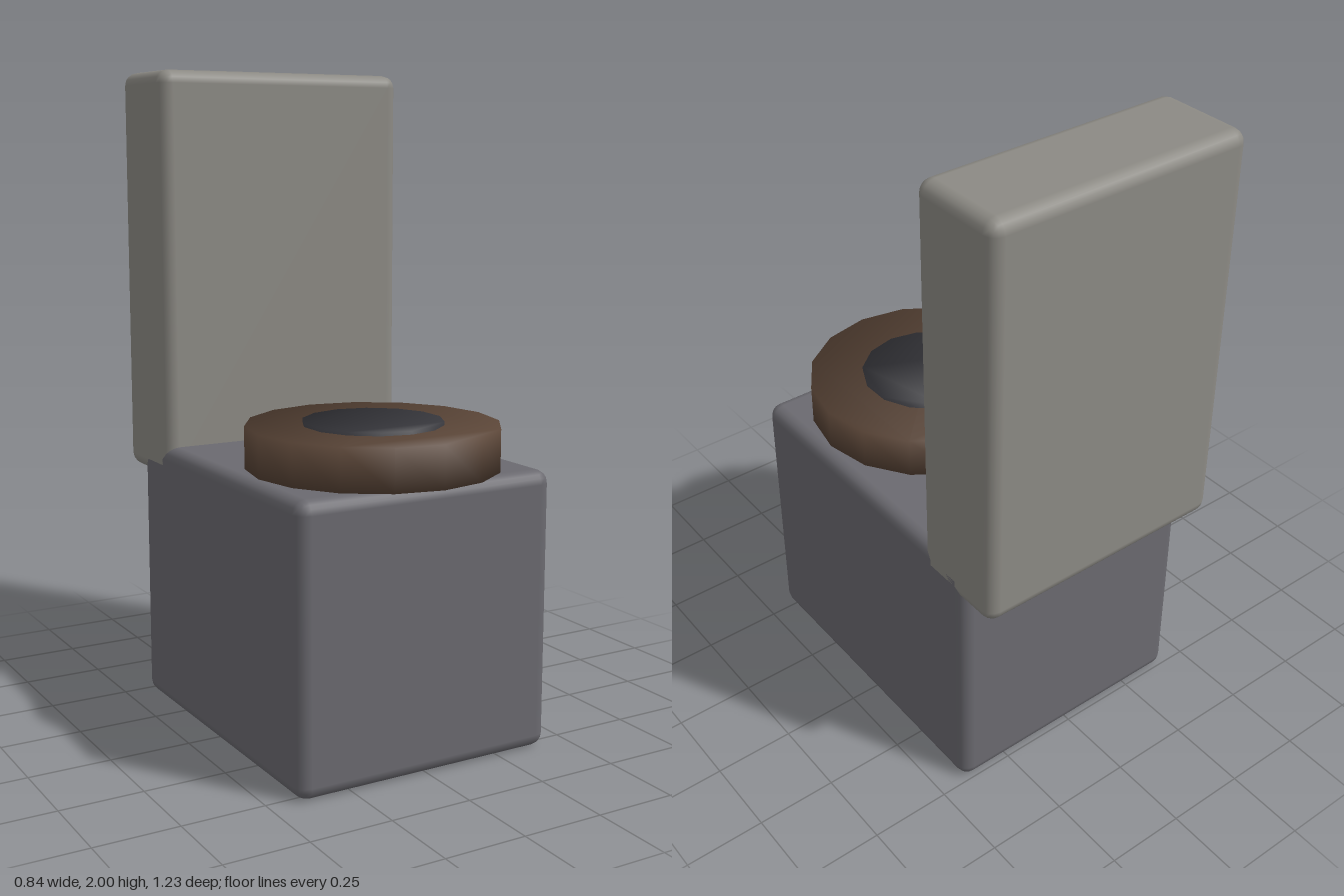
import * as THREE from 'three';
import { RoundedBoxGeometry } from 'three/addons/geometries/RoundedBoxGeometry.js';

// Rounded block given by its min and max corners
function block(name, color, min, max) {
  const size = max.map((v, i) => v - min[i]);
  const mesh = new THREE.Mesh(
    new RoundedBoxGeometry(...size, 2, 0.04),
    new THREE.MeshStandardMaterial({ color })
  );
  mesh.position.set(...max.map((v, i) => (v + min[i]) / 2));
  mesh.name = name;
  return mesh;
}

// Low-sided disc whose normals blend softly over the rim
function disc(name, color, radius, sides, bottom, top, z) {
  const outline = Array.from({ length: sides }, (_, i) => {
    const a = (i / sides) * Math.PI * 2;
    return new THREE.Vector2(Math.sin(a), -Math.cos(a)).multiplyScalar(radius);
  }).reverse();
  const geometry = new THREE.ExtrudeGeometry(new THREE.Shape(outline), {
    depth: top - bottom, bevelEnabled: false,
  });
  geometry.rotateX(-Math.PI / 2);
  const pos = geometry.attributes.position;
  const n = new THREE.Vector3();
  for (let i = 0; i < pos.count; i++) {
    const up = pos.getY(i) > (top - bottom) / 2 ? 1 : -1;
    n.set(pos.getX(i), up * radius, pos.getZ(i)).normalize();
    geometry.attributes.normal.setXYZ(i, n.x, n.y, n.z);
  }
  const mesh = new THREE.Mesh(geometry, new THREE.MeshStandardMaterial({ color }));
  mesh.position.set(0, bottom, z);
  mesh.name = name;
  return mesh;
}

export function createModel() {
  const group = new THREE.Group();
  group.name = 'toilet';
  group.add(
    block('base', 0x6b6a70, [-0.42, 0, -0.497], [0.42, 0.843, 0.55]),
    block('tank', 0x8c8a84, [-0.42, 0.743, -0.615], [0.42, 2, -0.302]),
    disc('seat', 0x5a4537, 0.378, 16, 0.843, 0.97, 0.235),
    // dark opening, standing just proud of the seat
    disc('bowlOpening', 0x36363b, 0.21, 14, 0.86, 0.98, 0.235)
  );
  return group;
}
